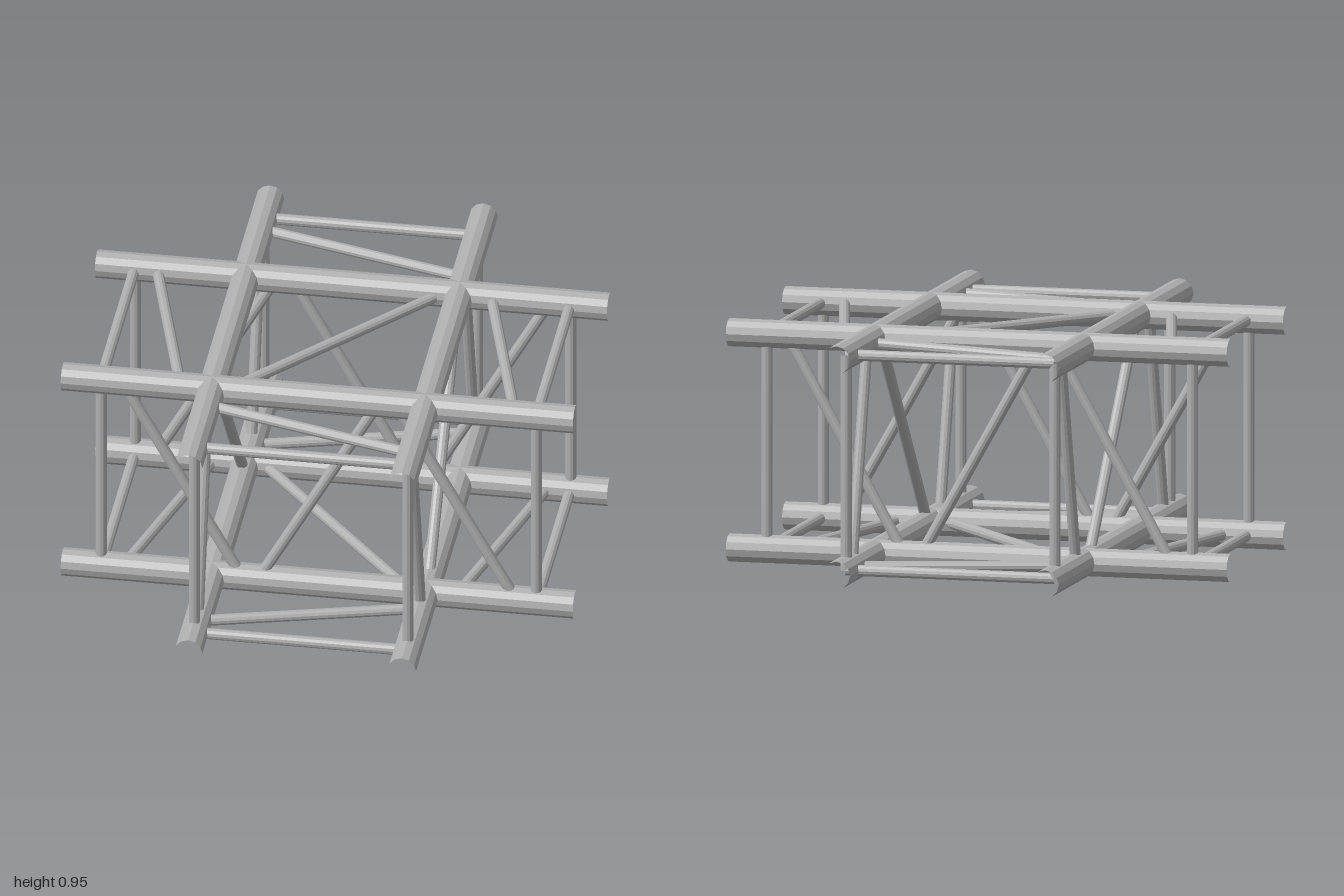
import * as THREE from 'three';

const CHORD_R = 0.055, BRACE_R = 0.022;
const LOW = 0.055, HIGH = 0.895, MID = 0.475, HALF = 0.42; // chord heights, half spacing
const OFF = 0.417; // chord distance from the centre
const POST = 0.85; // end brace distance from the centre

export function createModel() {
  const model = new THREE.Group();
  model.name = 'trussCrossJunction';
  const aluminium = new THREE.MeshStandardMaterial({ color: 0xb0b0b0, flatShading: true });
  aluminium.name = 'aluminium';

  // Open hollow tube between two points
  function tube(name, parent, a, b, radius) {
    const from = new THREE.Vector3(...a), to = new THREE.Vector3(...b);
    const dir = to.clone().sub(from);
    const geo = new THREE.CylinderGeometry(radius, radius, dir.length(), 12, 1, true);
    const mesh = new THREE.Mesh(geo, aluminium);
    mesh.name = name;
    mesh.position.copy(from).add(to).multiplyScalar(0.5);
    mesh.quaternion.setFromUnitVectors(new THREE.Vector3(0, 1, 0), dir.normalize());
    parent.add(mesh);
  }

  // Main chords, crossing at both levels
  for (const y of [LOW, HIGH]) {
    for (const s of [-OFF, OFF]) {
      tube('chordAcross', model, [-1, y, s], [1, y, s], CHORD_R);
      tube('chordAlong', model, [s, y, -1], [s, y, 1], CHORD_R);
    }
  }

  // Vertical lattice: one front and one side panel, repeated by a half turn
  for (const turn of [0, Math.PI]) {
    const half = new THREE.Group();
    half.name = 'verticalLattice';
    half.rotation.y = turn;
    model.add(half);
    const zigzag = (name, place, pairs) => pairs.forEach(([bottom, top]) =>
      tube(name, half, place(bottom, MID - HALF), place(top, MID + HALF), BRACE_R));
    const front = (u, y) => [u, y, OFF];
    const side = (u, y) => [OFF, y, u];
    zigzag('frontDiagonal', front, [[-0.30, -0.77], [-0.235, 0.235], [0.77, 0.30]]);
    zigzag('sideDiagonal', side, [[0.54, 0.765], [0.355, -0.355], [-0.765, -0.54]]);
    zigzag('frontPost', front, [[-POST, -POST], [POST, POST]]);
    zigzag('sidePost', side, [[-POST, -POST], [POST, POST]]);
  }

  // Horizontal lattice: the lower level mirrors the upper one
  for (const [y, m] of [[HIGH, 1], [LOW, -1]]) {
    const level = new THREE.Group();
    level.name = m > 0 ? 'upperLattice' : 'lowerLattice';
    model.add(level);
    tube('centreDiagonal', level, [-0.355 * m, y, OFF], [0.355 * m, y, -OFF], BRACE_R);
    for (const s of [-1, 1]) {
      tube('sideArmDiagonal', level, [0.54 * s * m, y, -OFF * s], [0.765 * s * m, y, OFF * s], BRACE_R);
      tube('frontArmDiagonal', level, [-OFF * s * m, y, 0.54 * s], [OFF * s * m, y, 0.765 * s], BRACE_R);
      tube('sideArmRung', level, [POST * s, y, -OFF], [POST * s, y, OFF], BRACE_R);
      tube('frontArmRung', level, [-OFF, y, POST * s], [OFF, y, POST * s], BRACE_R);
    }
  }
  return model;
}
